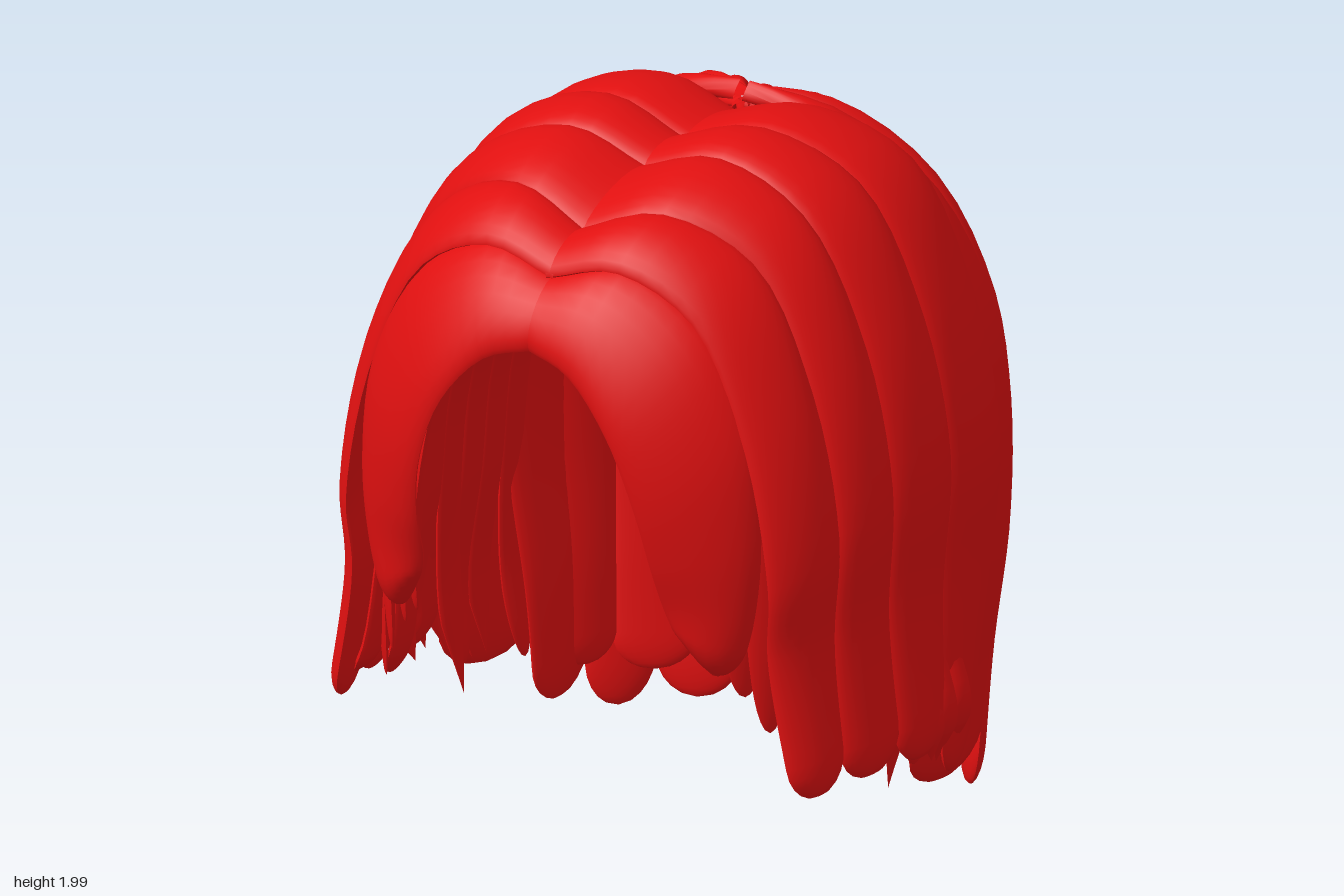
import * as THREE from 'three';

const red = new THREE.MeshStandardMaterial({ color: 0xe01010 });
red.name = 'hairRed';

const V = (x, y, z) => new THREE.Vector3(x, y, z);
const curve = pts => new THREE.CatmullRomCurve3(pts.map(p => V(...p)), false, 'centripetal');

// One lock: a lens-shaped sweep between a leading edge and a trailing edge,
// bulging outward, with a rounded or pointed tip.
function lockGeometry(edgeA, edgeB, side, { bulge = 0.04, inner = 0.025, tip = 0.06, pointed = false, rows = 36, cols = 10 }) {
  const a = curve(edgeA), b = curve(edgeB);
  const pos = [], index = [];
  for (const sheet of [1, -1]) {
    const base = pos.length / 3;
    for (let i = 0; i <= rows; i++) {
      const t = 1 - Math.pow(1 - i / rows, 1.6);
      const pa = a.getPoint(t), pb = b.getPoint(t);
      const across = pb.clone().sub(pa);
      const along = a.getTangent(t).add(b.getTangent(t));
      const normal = along.cross(across).normalize();
      const q = Math.max(0, (t - 1 + tip) / tip);
      const w = pointed ? 1 - q : Math.sqrt(Math.max(0, 1 - q * q));
      const mid = pa.add(pb).multiplyScalar(0.5);
      for (let j = 0; j <= cols; j++) {
        const s = -Math.cos(Math.PI * j / cols);
        const lift = Math.pow(Math.max(0, 1 - s * s), 0.6) * w * (sheet > 0 ? bulge : -inner);
        const p = mid.clone().addScaledVector(across, s * 0.52 * w).addScaledVector(normal, lift);
        pos.push(p.x * side, p.y, p.z);
      }
    }
    for (let i = 0; i < rows; i++) for (let j = 0; j < cols; j++) {
      const k = base + i * (cols + 1) + j, n = k + cols + 1;
      if (sheet * side > 0) index.push(k, n, k + 1, k + 1, n, n + 1);
      else index.push(k, k + 1, n, k + 1, n + 1, n);
    }
  }
  const g = new THREE.BufferGeometry();
  g.setAttribute('position', new THREE.Float32BufferAttribute(pos, 3));
  g.setIndex(index);
  g.computeVertexNormals();
  return g;
}

// Boundaries between the side locks, front to back:
// parting height, crest height, widest x, z at the parting, z at the side, z at the hem
const bounds = [
  [1.73, 1.78, 0.66, 0.69, 0.65, 0.62],
  [1.80, 1.88, 0.73, 0.52, 0.42, 0.43],
  [1.88, 1.95, 0.76, 0.21, 0.20, 0.20],
  [1.89, 1.96, 0.78, 0.01, -0.06, -0.02],
  [1.87, 1.92, 0.74, -0.27, -0.37, -0.31],
];
const sideEdge = ([p, h, x, z0, z1, z2], end, flare) => [
  [-0.01, p, z0], [0.3 * x, h, z0 * 0.6 + z1 * 0.4], [0.64 * x, h - 0.11, z1],
  [0.88 * x, h - 0.42, z1], [x, h - 0.82, z1], [x * 0.985, 0.75, (z1 + z2) / 2],
  [x + flare, end, z2],
];

// Edge of a back lock, falling from the crown at a given angle round the head
// and swinging forward toward the hem
const backProfile = [[0.02, 1.88], [0.35, 1.84], [0.69, 1.67], [0.9, 1.4], [0.97, 1.1], [0.96, 0.75], [0.89, 0.4]];
function backEdge(deg, end, scale = 1, drop = 0) {
  const rad = deg * Math.PI / 180, c0 = Math.cos(rad);
  return [...backProfile, [0.76 + 0.1 * c0, end]].map(([r, y]) => {
    const swing = 0.26 * c0 * Math.pow(Math.max(0, 1.3 - y) / 1.3, 1.5);
    const c = Math.cos(rad - swing), s = Math.sin(rad - swing);
    const crown = (1 - r) * (1 - r) * (y > 1.5 ? 1 : 0);
    return [c * 0.75 * r * scale, y - drop + 0.07 * c0 * (y > 1.5 ? 1 - r : 0), -0.36 + 0.09 * crown - s * 0.475 * r * scale];
  });
}

// Narrow strand: a centre path widened along a vector pointing backward
const strandEdges = (path, wx, wz) => [-1, 1].map(d => path.map(([x, y, z]) => [x + d * wx, y, z - d * wz]));

export function createModel() {
  const model = new THREE.Group();
  model.name = 'hair';

  for (const side of [1, -1]) {
    const half = new THREE.Group();
    half.name = side > 0 ? 'leftHair' : 'rightHair';
    model.add(half);
    const add = (name, a, b, options = {}) => {
      const mesh = new THREE.Mesh(lockGeometry(a, b, side, options), red);
      mesh.name = name;
      half.add(mesh);
    };

    // Fringe framing the face, with a slanted end
    add('fringeLock',
      [[-0.01, 1.56, 0.79], [0.13, 1.52, 0.81], [0.26, 1.38, 0.825], [0.34, 1.18, 0.81], [0.37, 1.0, 0.77], [0.38, 0.87, 0.72], [0.41, 0.76, 0.69]],
      [[-0.01, 1.72, 0.65], [0.2, 1.77, 0.63], [0.43, 1.65, 0.62], [0.57, 1.4, 0.62], [0.61, 1.1, 0.62], [0.59, 0.85, 0.62], [0.53, 0.64, 0.62]],
      { bulge: 0.055, tip: 0.1 });

    // Side locks flowing over from the parting
    const ends = [0.34, 0.34, 0.32, 0.2];
    const flares = [0.06, 0.03, 0.03, 0.01, -0.08];
    ends.forEach((end, i) => add('sideLock',
      sideEdge(bounds[i], end, flares[i]), sideEdge(bounds[i + 1], end + 0.02, flares[i + 1]),
      { bulge: 0.04, tip: 0.04 }));

    // Back locks falling from the crown, with a shorter layer beneath
    const angles = [-14, 29, 49, 69, 91];
    [0.09, 0, 0.02, 0.05].forEach((end, i) => add('backLock',
      backEdge(angles[i], end), backEdge(angles[i + 1], end), { bulge: 0.035, tip: 0.05 }));
    const innerAngles = [8, 34, 57, 90];
    [0.18, 0.14, 0.15].forEach((end, i) => add('innerBackLock',
      backEdge(innerAngles[i], end, 0.93, 0.03), backEdge(innerAngles[i + 1], end, 0.93, 0.03),
      { bulge: 0.02, inner: 0.02, tip: 0.05 }));

    // Thin strands behind the fringe
    for (const [x, z, end] of [[0.47, 0.62, 0.66], [0.53, 0.58, 0.6], [0.59, 0.55, 0.5], [0.64, 0.5, 0.4]]) {
      const path = [[x * 0.55, 1.58, z], [x * 0.8, 1.38, z + 0.01], [x * 0.95, 1.1, z + 0.01], [x, 0.85, z], [x, end, z - 0.02]];
      add('fringeStrand', ...strandEdges(path, 0.035, 0.05), { bulge: 0.02, inner: 0.015, tip: 0.25, rows: 20, cols: 6 });
    }

    // Ragged ends under the side locks
    for (let i = 0; i < 8; i++) {
      const z = 0.5 - i * 0.105, k = Math.sin(i * 2.4 + 1);
      const x = i < 2 ? 0.62 : 0.69;
      const end = i < 4 ? 0.38 + 0.03 * k : 0.24 + 0.04 * k;
      const path = [[x - 0.12, 1.4, z], [x - 0.03, 1.1, z], [x, 0.8, z],
        [x + 0.03 + 0.02 * k, 0.48, z + 0.02 * k], [0.69 + 0.03 * k, end, z + 0.03 * k]];
      add('sideStrand', ...strandEdges(path, 0.005, 0.06), { bulge: 0.02, inner: 0.02, tip: 0.2, pointed: i % 2 === 0, rows: 20, cols: 6 });
    }
    // Small outward flicks at the hem
    for (let i = 0; i < 3; i++) {
      const z = 0.06 - i * 0.07;
      const path = [[0.72, 0.8, z], [0.76, 0.58, z], [0.8, 0.42, z], [0.79 - i * 0.03, 0.3 - i * 0.03, z - 0.02]];
      add('hemFlick', ...strandEdges(path, 0.01, 0.045), { bulge: 0.02, inner: 0.015, tip: 0.25, pointed: true, rows: 16, cols: 6 });
    }
  }
  return model;
}
